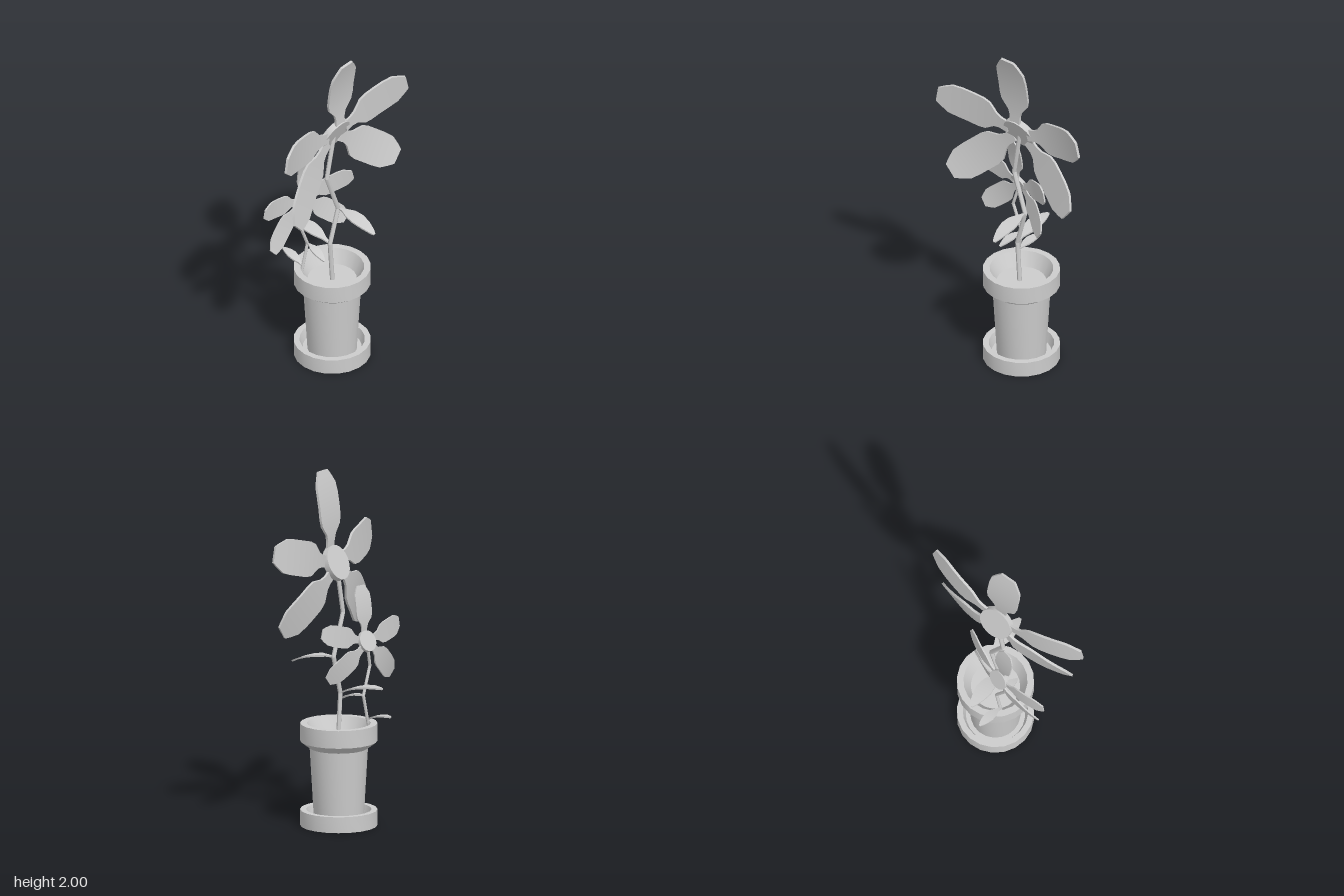
import * as THREE from 'three';
import { toCreasedNormals } from 'three/addons/utils/BufferGeometryUtils.js';

const V = (x, y, z) => new THREE.Vector3(x, y, z);
const material = new THREE.MeshStandardMaterial({ color: 0xcccccc });

function addMesh(parent, name, geometry, crease = 0.6) {
  const mesh = new THREE.Mesh(toCreasedNormals(geometry, crease), material);
  mesh.name = name;
  parent.add(mesh);
  return mesh;
}

// Thin solid blade: rectangular sections swept along an arched path.
// profile rows are [position along the path, half width].
function bladeGeometry(root, tip, bulge, face, profile, thickness) {
  const middle = root.clone().lerp(tip, 0.5).addScaledVector(bulge, 2);
  const path = new THREE.QuadraticBezierCurve3(root, middle, tip);
  const points = [], index = [];
  profile.forEach(([t, half], i) => {
    const centre = path.getPoint(t), tangent = path.getTangent(t);
    const side = face.clone().cross(tangent).normalize();
    const normal = tangent.clone().cross(side);
    for (const [s, n] of [[1, 1], [-1, 1], [-1, -1], [1, -1]]) {
      points.push(centre.clone().addScaledVector(side, s * half).addScaledVector(normal, n * thickness / 2));
    }
    if (i === 0) return;
    for (let j = 0; j < 4; j++) {
      const a = (i - 1) * 4 + j, b = (i - 1) * 4 + (j + 1) % 4;
      index.push(a, b, b + 4, a, b + 4, a + 4);
    }
  });
  const e = (profile.length - 1) * 4;
  index.push(0, 2, 1, 0, 3, 2, e, e + 1, e + 2, e, e + 2, e + 3);
  const geometry = new THREE.BufferGeometry().setFromPoints(points);
  geometry.setIndex(index);
  return geometry;
}

const PETAL = [[0, 0.035], [0.12, 0.034], [0.2, 0.045], [0.32, 0.09], [0.42, 0.1],
  [0.56, 0.1], [0.7, 0.1], [0.83, 0.095], [0.93, 0.068], [1, 0.045]];
const LEAF = [[0, 0.012], [0.15, 0.05], [0.35, 0.14], [0.55, 0.165], [0.75, 0.13], [0.92, 0.07], [1, 0.025]];

// Flower facing its own +z, with a tilted centre disc and five petals bent backwards
function createFlower(name, position, yaw, scale) {
  const flower = new THREE.Group();
  flower.name = name;
  const tilt = 0.4;
  const disc = addMesh(flower, 'flowerCentre', new THREE.CylinderGeometry(0.1, 0.1, 0.035, 20));
  disc.rotation.x = Math.PI / 2 - tilt;
  const tips = [[0.01, 0.513], [0.515, 0.09], [0.42, -0.38], [-0.415, -0.33], [-0.495, 0.13]];
  for (const [x, y] of tips) {
    const tip = V(x, y, -0.098);
    const root = V(x, y, 0).setLength(0.07);
    root.z = -root.y * Math.tan(tilt) - 0.012;
    addMesh(flower, 'petal', bladeGeometry(root, tip, V(0, 0, 0.022), V(0, 0, 1), PETAL, 0.014));
  }
  flower.position.copy(position);
  flower.rotation.y = yaw;
  flower.scale.setScalar(scale);
  return flower;
}

// Kinked stem made of straight lengths with rounded joints
function createStem(name, points, radius) {
  const stem = new THREE.Group();
  stem.name = name;
  for (let i = 1; i < points.length; i++) {
    const a = points[i - 1], b = points[i];
    const direction = b.clone().sub(a);
    const piece = addMesh(stem, 'stemLength', new THREE.CylinderGeometry(radius, radius, direction.length(), 8), 1);
    piece.position.copy(a).lerp(b, 0.5);
    piece.quaternion.setFromUnitVectors(V(0, 1, 0), direction.normalize());
    if (i < points.length - 1) {
      addMesh(stem, 'stemJoint', new THREE.SphereGeometry(radius, 8, 6), 1).position.copy(b);
    }
  }
  return stem;
}

function createLeaf(root, tip) {
  const length = root.distanceTo(tip);
  const profile = LEAF.map(([t, half]) => [t, half * length]);
  return bladeGeometry(root, tip, V(0, length * 0.08, 0), V(0, 1, 0), profile, 0.009);
}

function lathe(rows) {
  return new THREE.LatheGeometry(rows.map(([r, y]) => new THREE.Vector2(r, y)), 20);
}

export function createModel() {
  const model = new THREE.Group();
  model.name = 'pottedFlowers';

  // Pot, soil and saucer
  const pot = new THREE.Group();
  pot.name = 'flowerPot';
  pot.position.set(-0.03, 0, -0.085);
  model.add(pot);
  addMesh(pot, 'saucer', lathe([[0, 0], [0.215, 0], [0.215, 0.09], [0.182, 0.09], [0.165, 0.035], [0, 0.035]]));
  addMesh(pot, 'potBody', lathe([[0, 0.03], [0.138, 0.03], [0.162, 0.44], [0.215, 0.48], [0.215, 0.58],
    [0.178, 0.58], [0.132, 0.49]]));
  addMesh(pot, 'soil', lathe([[0.14, 0.5], [0, 0.5]]));

  // Stems
  const tall = [V(-0.03, 0.49, -0.075), V(-0.045, 0.745, -0.065), V(0.005, 0.96, -0.1),
    V(-0.065, 1.2, -0.05), V(-0.02, 1.48, -0.075)];
  const short = [V(-0.205, 0.53, -0.09), V(-0.165, 0.73, -0.11), V(-0.215, 0.89, -0.07), V(-0.188, 1.035, -0.103)];
  model.add(createStem('tallStem', tall, 0.013), createStem('shortStem', short, 0.009));

  // Leaves growing from the stem joints
  const leaves = [
    [tall[2], V(0.18, 0.905, 0.105)],
    [tall[1], V(-0.225, 0.797, -0.27)],
    [short[1], V(-0.09, 0.695, 0.027)],
    [V(-0.195, 0.59, -0.093), V(-0.285, 0.625, -0.235)],
  ];
  for (const [root, tip] of leaves) addMesh(model, 'leaf', createLeaf(root, tip));

  // Flowers
  model.add(createFlower('largeFlower', V(-0.018, 1.487, -0.075), Math.PI + 0.712, 1));
  model.add(createFlower('smallFlower', V(-0.188, 1.037, -0.103), Math.PI + 0.49, 0.6));
  return model;
}
